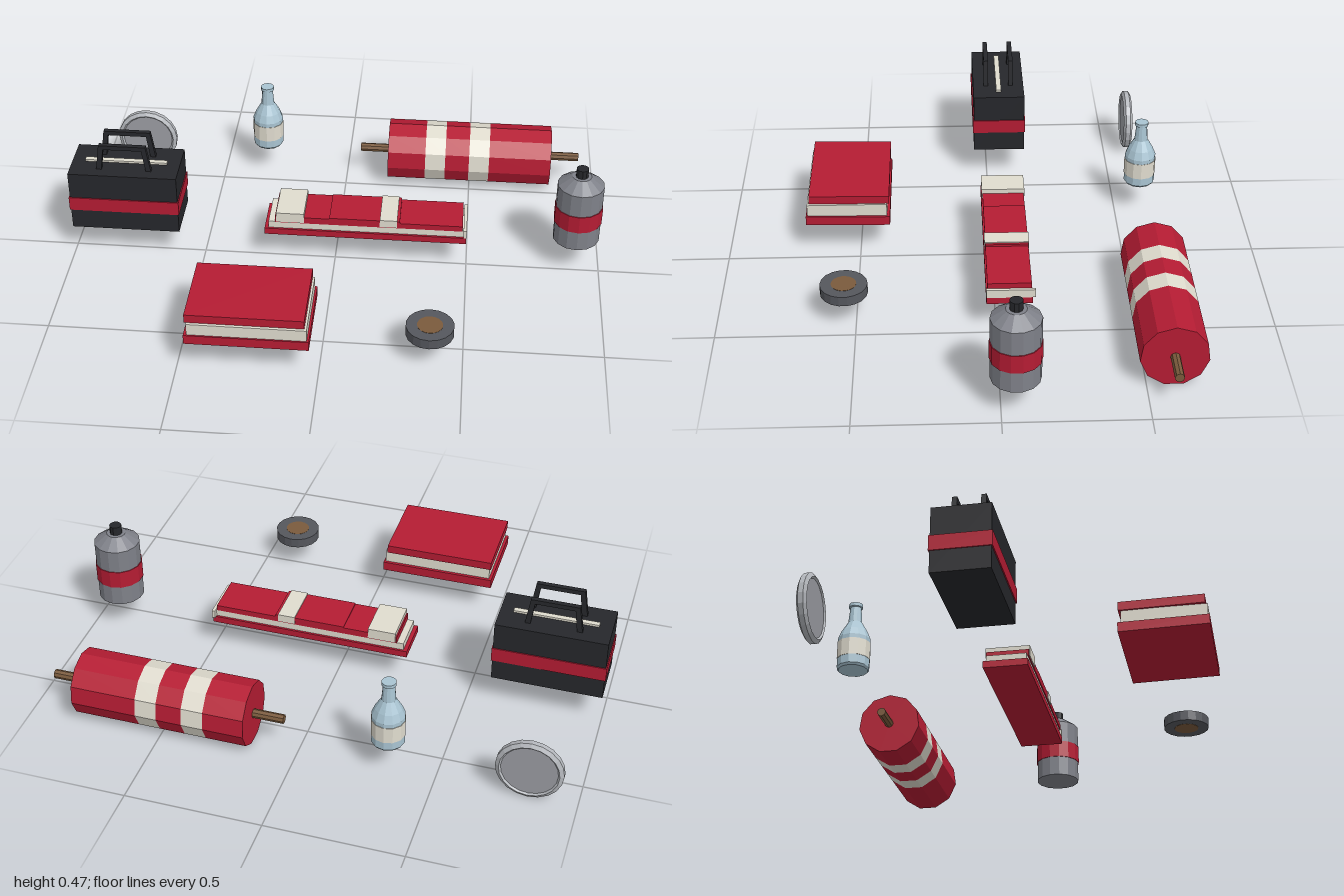
import * as THREE from 'three';

const RED = 0xb51c33, CREAM = 0xe0dccf, BLACK = 0x26272b, STEEL = 0x7f8189;
const DARK = 0x55575d, BROWN = 0x7a5a3c, GLASS = 0xa9c4d2, TIN = 0xb4b7bc;

const material = (color) =>
  new THREE.MeshStandardMaterial({ color, flatShading: true });

function add(parent, name, geometry, color, x = 0, y = 0, z = 0) {
  const mesh = new THREE.Mesh(geometry, material(color));
  mesh.name = name;
  mesh.position.set(x, y, z);
  parent.add(mesh);
  return mesh;
}

// Box given by its limits on each axis
function slab(parent, name, color, [x0, x1], [y0, y1], [z0, z1]) {
  return add(parent, name, new THREE.BoxGeometry(x1 - x0, y1 - y0, z1 - z0), color,
    (x0 + x1) / 2, (y0 + y1) / 2, (z0 + z1) / 2);
}

const lathe = (points, sides) =>
  new THREE.LatheGeometry(points.map(([r, y]) => new THREE.Vector2(r, y)), sides);

function group(parent, name, x = 0, y = 0, z = 0) {
  const g = new THREE.Group();
  g.name = name;
  g.position.set(x, y, z);
  parent.add(g);
  return g;
}

// Carrying case with a band round it and a pair of handles
function buildCase(root) {
  const g = group(root, 'carryingCase', -0.793, 0.12, -0.05);
  add(g, 'caseBody', new THREE.BoxGeometry(0.408, 0.24, 0.204), BLACK, 0, 0.12, 0);
  add(g, 'caseBand', new THREE.BoxGeometry(0.416, 0.055, 0.212), RED, 0, 0.108, 0);
  add(g, 'zipper', new THREE.BoxGeometry(0.31, 0.01, 0.02), CREAM, 0, 0.243, 0);

  const arch = new THREE.Shape([
    [-0.104, 0], [-0.084, 0], [-0.072, 0.09], [0.072, 0.09],
    [0.084, 0], [0.104, 0], [0.088, 0.107], [-0.088, 0.107],
  ].map(([x, y]) => new THREE.Vector2(x, y)));
  const handle = new THREE.ExtrudeGeometry(arch, { depth: 0.018, bevelEnabled: false });
  for (const z of [-0.05, 0.05]) add(g, 'handle', handle, BLACK, 0, 0.238, z - 0.009);
}

// Round dish standing on edge, rimmed on both faces
function buildDish(root) {
  const g = group(root, 'roundDish', -0.825, 0.12, -0.594);
  const rim = lathe([[0.1, -0.012], [0.106, -0.018], [0.12, -0.009], [0.12, 0.009],
    [0.106, 0.018], [0.1, 0.012]], 20);
  add(g, 'dishRim', rim, TIN).rotation.x = Math.PI / 2;
  add(g, 'dishPlate', new THREE.CylinderGeometry(0.102, 0.102, 0.024, 20), 0x9b9da3)
    .rotation.x = Math.PI / 2;
}

// Glass bottle with a paper label
function buildBottle(root) {
  const g = group(root, 'bottle', -0.325, 0.12, -0.595);
  const profile = [[0, 0], [0.054, 0], [0.06, 0.008], [0.06, 0.122], [0.048, 0.152],
    [0.026, 0.19], [0.021, 0.25], [0.026, 0.252], [0.026, 0.265], [0, 0.265]];
  add(g, 'bottleGlass', lathe(profile, 12), GLASS);
  add(g, 'label', new THREE.CylinderGeometry(0.0615, 0.0615, 0.065, 12), CREAM, 0, 0.073, 0);
}

// Padded roll on a rod, made of red and cream lengths
function buildRoll(root) {
  const g = group(root, 'paddedRoll', 0, 0.12, -0.592);
  const cuts = [0.17, 0.32, 0.4, 0.495, 0.575, 0.82];
  for (let i = 0; i < 5; i++) {
    const length = cuts[i + 1] - cuts[i];
    const geometry = new THREE.CylinderGeometry(0.12, 0.12, length, 11);
    geometry.rotateY(-Math.PI / 2); // one corner upward once laid down
    geometry.rotateZ(Math.PI / 2);
    // bring the first corner to the top
    const p = geometry.attributes.position;
    let top = 0;
    for (let k = 1; k < p.count; k++) if (p.getY(k) > p.getY(top)) top = k;
    geometry.rotateX(-Math.atan2(p.getZ(top), p.getY(top)));
    add(g, i % 2 ? 'rollBand' : 'rollSection', geometry, i % 2 ? CREAM : RED,
      (cuts[i] + cuts[i + 1]) / 2);
  }
  add(g, 'rod', new THREE.CylinderGeometry(0.017, 0.017, 0.88, 8), BROWN, 0.495)
    .rotation.z = Math.PI / 2;
}

// Metal canister with a band and a screw cap
function buildCanister(root) {
  const g = group(root, 'canister', 0.907, 0.12, -0.05);
  const profile = [[0, 0], [0.087, 0], [0.087, 0.24], [0.036, 0.276], [0, 0.276]];
  add(g, 'canisterBody', lathe(profile, 14), STEEL);
  add(g, 'canisterBand', new THREE.CylinderGeometry(0.09, 0.09, 0.07, 14), RED, 0, 0.115, 0);
  add(g, 'cap', new THREE.CylinderGeometry(0.023, 0.023, 0.036, 10), BLACK, 0, 0.292, 0);
}

// Roll of tape lying flat
function buildTape(root) {
  const g = group(root, 'tapeRoll', 0.38, 0.12, 0.542);
  add(g, 'tape', new THREE.CylinderGeometry(0.086, 0.086, 0.038, 18), DARK);
  add(g, 'tapeCore', new THREE.CylinderGeometry(0.046, 0.046, 0.04, 18), BROWN);
}

// Long folded bundle: base, lining, top folds and straps
function buildBundle(root) {
  const g = group(root, 'foldedBundle');
  slab(g, 'bundleBase', RED, [-0.265, 0.495], [0.12, 0.146], [-0.13, 0.035]);
  slab(g, 'bundleLining', CREAM, [-0.25, 0.485], [0.146, 0.174], [-0.122, 0.027]);
  const folds = [[-0.225, -0.02, 0.2], [-0.02, 0.245, 0.204], [0.245, 0.48, 0.196]];
  for (const [x0, x1, top] of folds)
    slab(g, 'bundleFold', RED, [x0, x1], [0.174, top], [-0.126, 0.031]);
  slab(g, 'endStrap', CREAM, [-0.22, -0.115], [0.178, 0.218], [-0.129, 0.034]);
  slab(g, 'middleStrap', CREAM, [0.17, 0.235], [0.178, 0.208], [-0.129, 0.034]);
  slab(g, 'endFlap', CREAM, [0.484, 0.496], [0.146, 0.178], [-0.14, 0.035]);
}

// Thick book with slightly tilted covers
function buildBook(root) {
  const g = group(root, 'thickBook');
  slab(g, 'lowerCover', RED, [-0.466, -0.03], [0.124, 0.16], [0.384, 0.702]).rotation.x = -0.016;
  slab(g, 'pages', CREAM, [-0.455, -0.038], [0.155, 0.208], [0.395, 0.696]);
  slab(g, 'upperCover', RED, [-0.462, -0.046], [0.208, 0.24], [0.386, 0.688]).rotation.x = -0.016;
}

export function createModel() {
  const root = new THREE.Group();
  root.name = 'equipmentSet';
  for (const build of [buildCase, buildDish, buildBottle, buildRoll, buildCanister,
    buildTape, buildBundle, buildBook]) build(root);
  return root;
}
